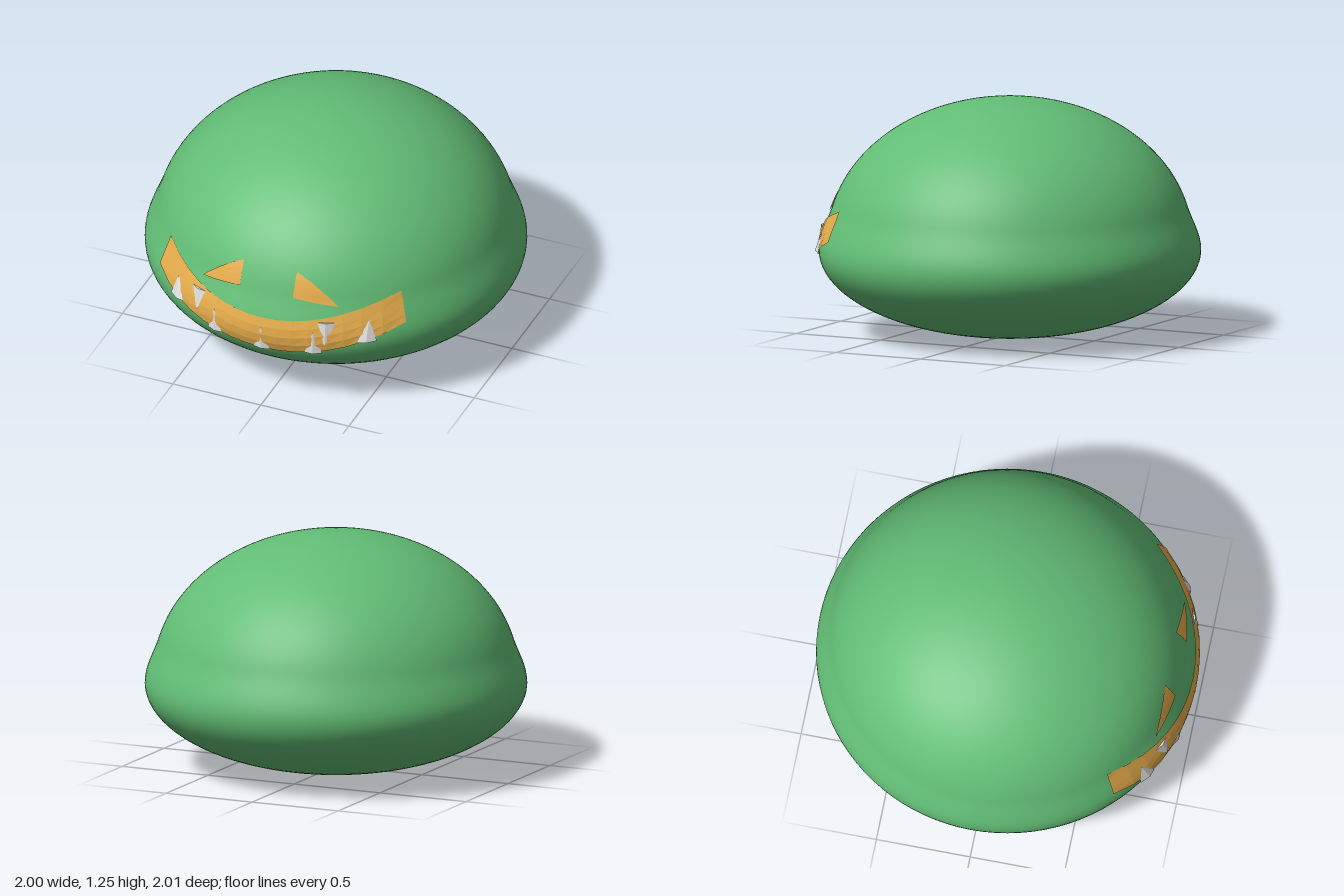
import * as THREE from 'three';

const HEIGHT = 1.25;

// Body radius at height y: shallow bowl, soft shoulder, tall dome
function radius(y) {
  if (y <= 0.45) return Math.sqrt(Math.max(0, 1 - ((0.45 - y) / 0.45) ** 2));
  if (y >= 0.68) return 0.955 * Math.sqrt(Math.max(0, 1 - ((y - 0.5) / 0.75) ** 2));
  const t = (y - 0.45) / 0.23;
  const h = t * t * (3 - 2 * t);
  return 1 - 0.073 * h + (t ** 3 - t ** 2) * 0.23 * -0.315;
}

// Point on the front of the body, lifted outward by off
function onBody(x, y, off) {
  const r = radius(y) + off;
  return [x, y, Math.sqrt(r * r - x * x)];
}

function facets(triangles) {
  const geo = new THREE.BufferGeometry();
  geo.setAttribute('position', new THREE.Float32BufferAttribute(triangles.flat(2), 3));
  geo.computeVertexNormals();
  return geo;
}

// Patch lying on the body between two edges; point(u, v) gives [x, y]
function patch(point, nu, nv, off) {
  const tris = [];
  const at = (i, j) => onBody(...point(i / nu, j / nv), off);
  for (let i = 0; i < nu; i++) {
    for (let j = 0; j < nv; j++) {
      const a = at(i, j), b = at(i + 1, j), c = at(i + 1, j + 1), d = at(i, j + 1);
      tris.push([a, b, c], [a, c, d]);
    }
  }
  return facets(tris);
}

// Ridged tooth: base at baseY, point at tipY
function tooth(x, baseY, tipY, half) {
  const s = tipY > baseY ? 1 : -1;
  const a = onBody(x - s * half, baseY, 0.011);
  const b = onBody(x + s * half, baseY, 0.011);
  const ridge = onBody(x, baseY, 0.022);
  const tip = onBody(x, tipY, 0.013);
  return facets([[a, ridge, tip], [ridge, b, tip], [a, b, ridge]]);
}

export function createModel() {
  const group = new THREE.Group();
  const mat = (name, color, extra = {}) => {
    const m = new THREE.MeshStandardMaterial({ color, ...extra });
    m.name = name;
    return m;
  };
  const green = mat('green', 0x62bd75);
  const amber = mat('amber', 0xe5ac4b, { side: THREE.DoubleSide });
  const ivory = mat('ivory', 0xe0e0e0, { side: THREE.DoubleSide });
  const add = (name, geo, material) => {
    const mesh = new THREE.Mesh(geo, material);
    mesh.name = name;
    group.add(mesh);
  };

  // Body
  const profile = [];
  const steps = 64;
  for (let i = 0; i <= steps; i++) {
    const y = (HEIGHT / 2) * (1 - Math.cos((Math.PI * i) / steps));
    profile.push(new THREE.Vector2(i % steps ? radius(y) : 0, y));
  }
  add('body', new THREE.LatheGeometry(profile, 96), green);

  // Grinning mouth band
  const mouth = (u, v) => {
    const k = 2 * u - 1;
    const low = 0.355 + 0.173 * k * k;
    const high = 0.545 + 0.143 * k * k;
    return [k * (0.7 - 0.045 * v), low + (high - low) * v];
  };
  add('mouth', patch(mouth, 16, 4, 0.007), amber);

  // Slanted eyes, tapering to the outer corner
  for (const side of [-1, 1]) {
    const eye = (u, v) => {
      const w = side > 0 ? 1 - u : u; // 0 at outer corner, 1 at inner edge
      const low = 0.64 + 0.03 * w;
      const high = 0.64 + 0.16 * w + 0.06 * w * (1 - w);
      return [side * (0.385 - 0.235 * w), low + (high - low) * v];
    };
    add(side > 0 ? 'leftEye' : 'rightEye', patch(eye, 8, 4, 0.007), amber);
  }

  // Lower teeth
  const lower = [[0, 0.358, 0.495], [0.28, 0.378, 0.51], [0.54, 0.452, 0.57]];
  for (const [x, base, tip] of lower) {
    for (const side of x ? [-1, 1] : [1]) {
      add('lowerTooth', tooth(side * x, base, tip, 0.045), ivory);
    }
  }
  // Upper teeth
  add('upperTooth', tooth(-0.395, 0.573, 0.455, 0.044), ivory);
  add('upperTooth', tooth(0.34, 0.562, 0.43, 0.044), ivory);

  return group;
}
